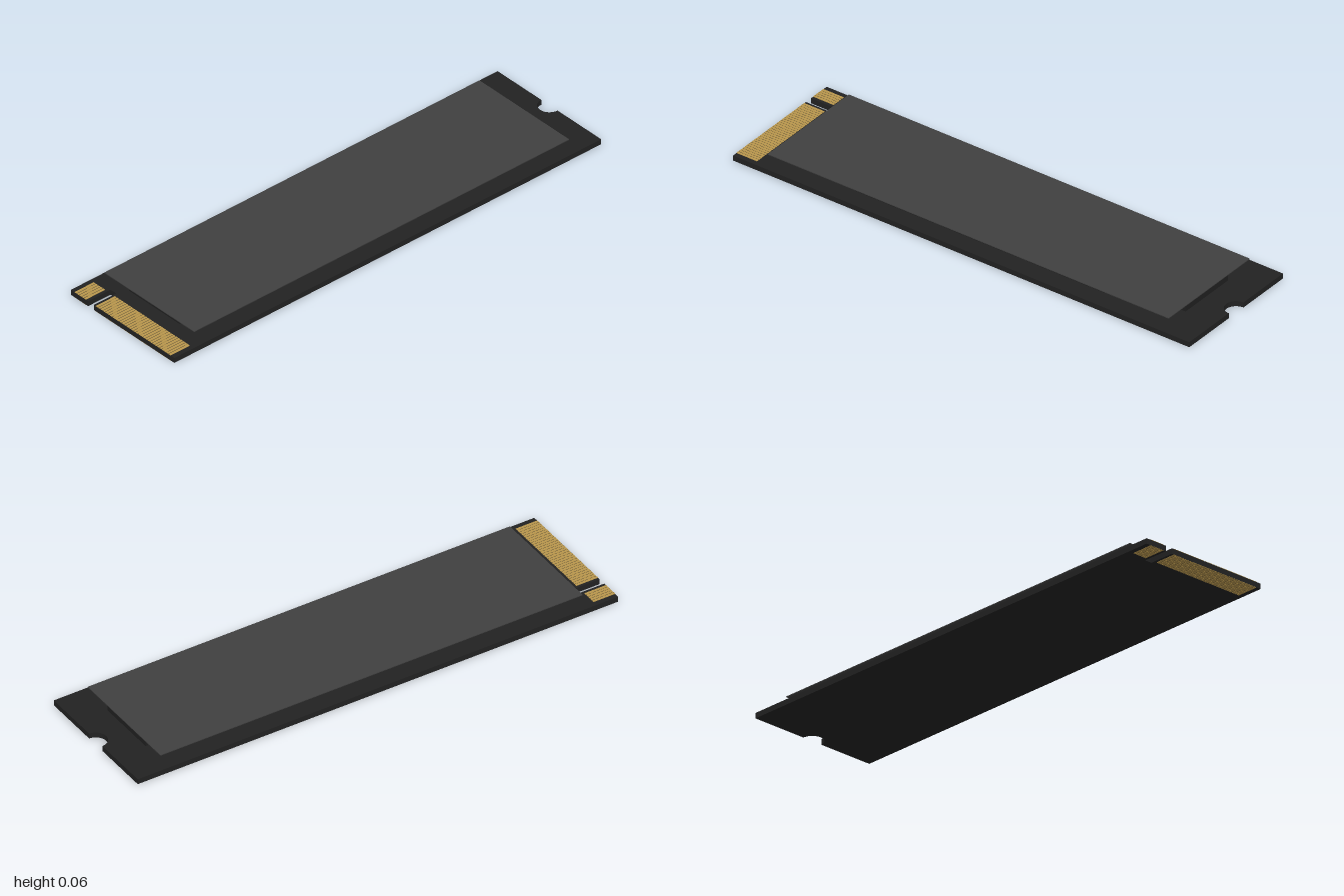
import * as THREE from 'three';

const flat = (name, color) => {
  const m = new THREE.MeshStandardMaterial({ color });
  m.name = name;
  return m;
};

export function createModel() {
  const group = new THREE.Group();
  const boardMat = flat('board black', 0x222222);
  const chipMat = flat('chip black', 0x202020);
  const labelMat = flat('label grey', 0x404040);
  const goldMat = flat('contact gold', 0xb8964c);

  // Box from its x range, y range and z range
  const box = (name, mat, [x0, x1], [y0, y1], [z0, z1]) => {
    const mesh = new THREE.Mesh(new THREE.BoxGeometry(x1 - x0, y1 - y0, z1 - z0), mat);
    mesh.position.set((x0 + x1) / 2, (y0 + y1) / 2, (z0 + z1) / 2);
    mesh.name = name;
    return mesh;
  };

  // Circuit board with key slot at the left end and screw notch at the right
  const W = 0.275, R = 0.043, base = 0.001, top = 0.022;
  const s = new THREE.Shape();
  s.moveTo(-1, -W);
  s.lineTo(1, -W);
  s.lineTo(1, -R);
  s.absarc(1, 0, R, -Math.PI / 2, Math.PI / 2, true);
  s.lineTo(1, W);
  s.lineTo(-1, W);
  s.lineTo(-1, 0.183);
  s.lineTo(-0.895, 0.183);
  s.lineTo(-0.895, 0.153);
  s.lineTo(-1, 0.153);
  s.closePath();
  const boardGeo = new THREE.ExtrudeGeometry(s, { depth: top - base, bevelEnabled: false, curveSegments: 24 });
  boardGeo.rotateX(-Math.PI / 2);
  const board = new THREE.Mesh(boardGeo, boardMat);
  board.position.y = base;
  board.name = 'circuitBoard';
  group.add(board);

  // Controller, three memory chips and a smaller chip
  group.add(box('controllerChip', chipMat, [-0.85, -0.58], [top, 0.055], [-0.135, 0.135]));
  [-0.525, -0.15, 0.225].forEach((x, i) =>
    group.add(box('memoryChip' + (i + 1), chipMat, [x, x + 0.35], [top, 0.055], [-0.2, 0.2])));
  group.add(box('smallChip', chipMat, [0.675, 0.872], [top, 0.046], [-0.125, 0.125]));

  // Thin cover label resting on the chips
  group.add(box('label', labelMat, [-0.875, 0.882], [0.055, 0.058], [-0.238, 0.238]));

  // Gold edge contacts on both faces, skipping the key slot
  const contacts = new THREE.Group();
  contacts.name = 'edgeContacts';
  const pitch = 0.0125, half = 0.005;
  for (let i = 0; i < 41; i++) {
    const z = -0.25 + i * pitch;
    if (z > -0.191 && z < -0.144) continue;
    const span = [z - half, z + half];
    contacts.add(box('topContact', goldMat, [-1, -0.91], [top, top + 0.0015], span));
    contacts.add(box('bottomContact', goldMat, [-1, -0.91], [0, base], span));
  }
  group.add(contacts);
  return group;
}
